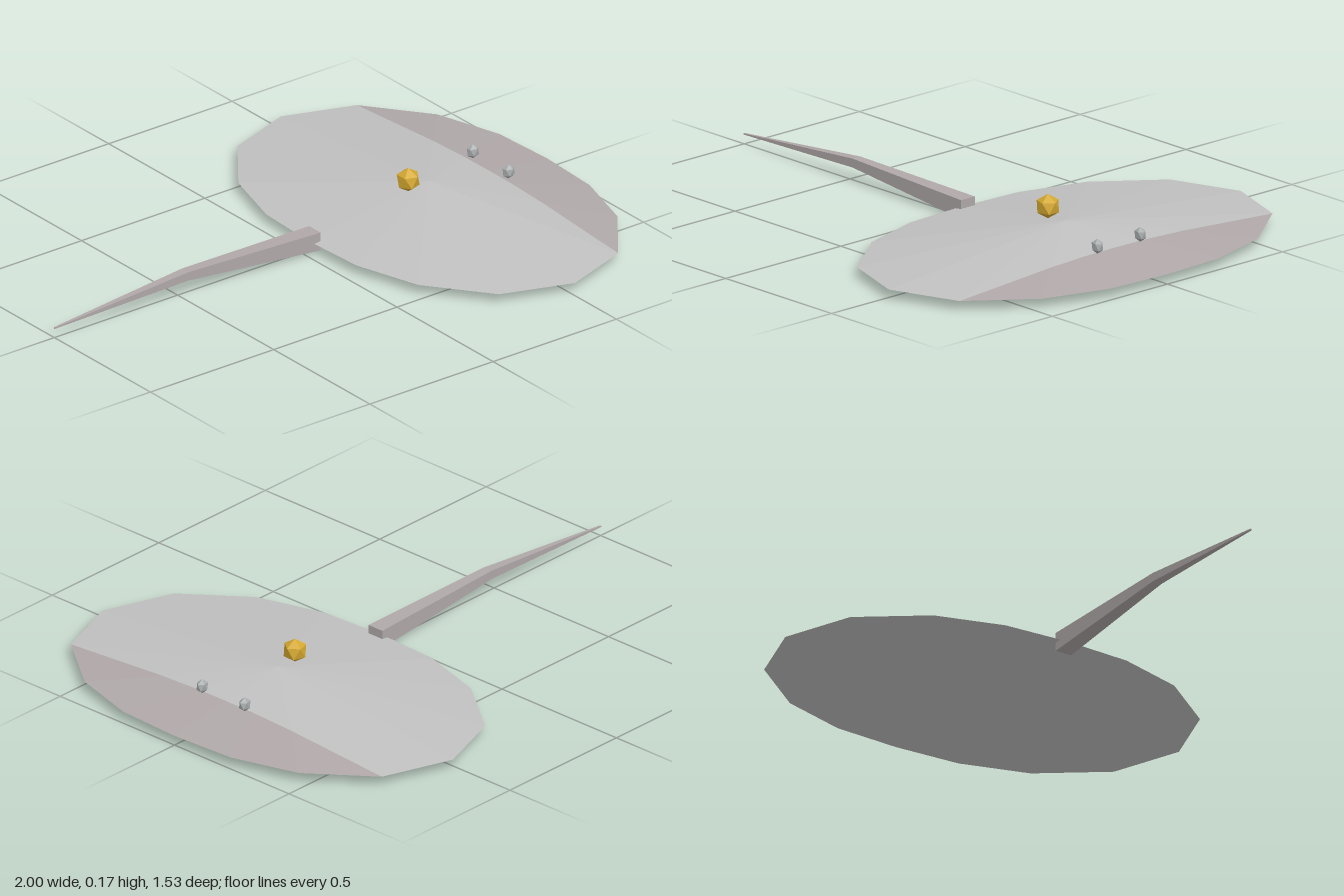
import * as THREE from 'three';

const mat = (name, color, side = THREE.FrontSide) => {
  const m = new THREE.MeshStandardMaterial({ color, side });
  m.name = name;
  return m;
};

// Flat-shaded geometry from a list of convex polygons
function polygons(faces) {
  const pos = [];
  for (const f of faces)
    for (let i = 1; i < f.length - 1; i++) pos.push(...f[0], ...f[i], ...f[i + 1]);
  const g = new THREE.BufferGeometry();
  g.setAttribute('position', new THREE.Float32BufferAttribute(pos, 3));
  g.computeVertexNormals();
  return g;
}

export function createModel() {
  const group = new THREE.Group();
  const skin = mat('pale grey skin', 0xc0c0c0);
  const blush = mat('warm grey skin', 0xb0a8a8);
  const gold = mat('gold', 0xd4a830);
  const eyeGrey = mat('eye grey', 0xa8acac);
  const add = (name, geo, m) => {
    const mesh = new THREE.Mesh(geo, m);
    mesh.name = name;
    group.add(mesh);
    return mesh;
  };

  // Oval rim: one quadrant mirrored into a 16-sided outline
  const cx = 0.515, rimY = 0.033, cut = 0.757;
  const quad = [[0.485, 0], [0.473, 0.235], [0.404, 0.468], [0.242, 0.68]];
  const half = [...quad, [0, 0.765], ...quad.slice().reverse().map(([x, z]) => [-x, z])];
  const outline = [...half, ...half.slice(1, -1).reverse().map(([x, z]) => [x, -z])];
  const rim = outline.map(([x, z]) => [cx + x, rimY, z]);
  const top = [cx, 0.1, 0], bottom = [cx, 0, 0];

  // Point where a spoke of the upper cone meets the colour line
  const onCut = (p) => {
    const t = Math.min(1, (cut - cx) / (p[0] - cx));
    return top.map((v, i) => v + (p[i] - v) * t);
  };
  const back = [], front = [], belly = [];
  rim.forEach((a, i) => {
    const b = rim[(i + 1) % rim.length];
    belly.push([bottom, a, b]);
    if (Math.max(a[0], b[0]) > cut + 0.001) {
      const a2 = a[0] > cut ? onCut(a) : a, b2 = b[0] > cut ? onCut(b) : b;
      back.push([top, b2, a2]);
      front.push([a2, b2, b, a]);
    } else back.push([top, b, a]);
  });
  add('upperBody', polygons(back), skin);
  add('snoutPatch', polygons(front), blush);
  add('belly', polygons(belly), skin);

  // Tail: square sections [x, low y, high y, half width]
  const sections = [[0.057, 0.003, 0.066, 0.03], [-0.47, 0.049, 0.079, 0.017], [-1, 0.032, 0.036, 0.003]]
    .map(([x, lo, hi, w]) => [[x, lo, w], [x, lo, -w], [x, hi, -w], [x, hi, w]]);
  const tail = [sections[0], sections[2].slice().reverse()];
  for (let s = 0; s < 2; s++)
    for (let i = 0; i < 4; i++) {
      const j = (i + 1) % 4, A = sections[s], B = sections[s + 1];
      tail.push([A[j], A[i], B[i], B[j]]);
    }
  add('tail', polygons(tail), blush);

  // Faceted balls with a corner pointing straight up
  const ball = (r) => new THREE.IcosahedronGeometry(r, 0)
    .rotateX(-Math.atan((1 + Math.sqrt(5)) / 2)).rotateY(Math.PI / 2);
  add('goldOrb', ball(0.041), gold).position.set(0.435, 0.129, 0);
  for (const s of [1, -1]) {
    const eye = add(s > 0 ? 'frontEye' : 'backEye', ball(0.025).scale(0.95, 1, 0.72), eyeGrey);
    eye.position.set(0.77, 0.093, s * 0.093);
  }
  return group;
}
